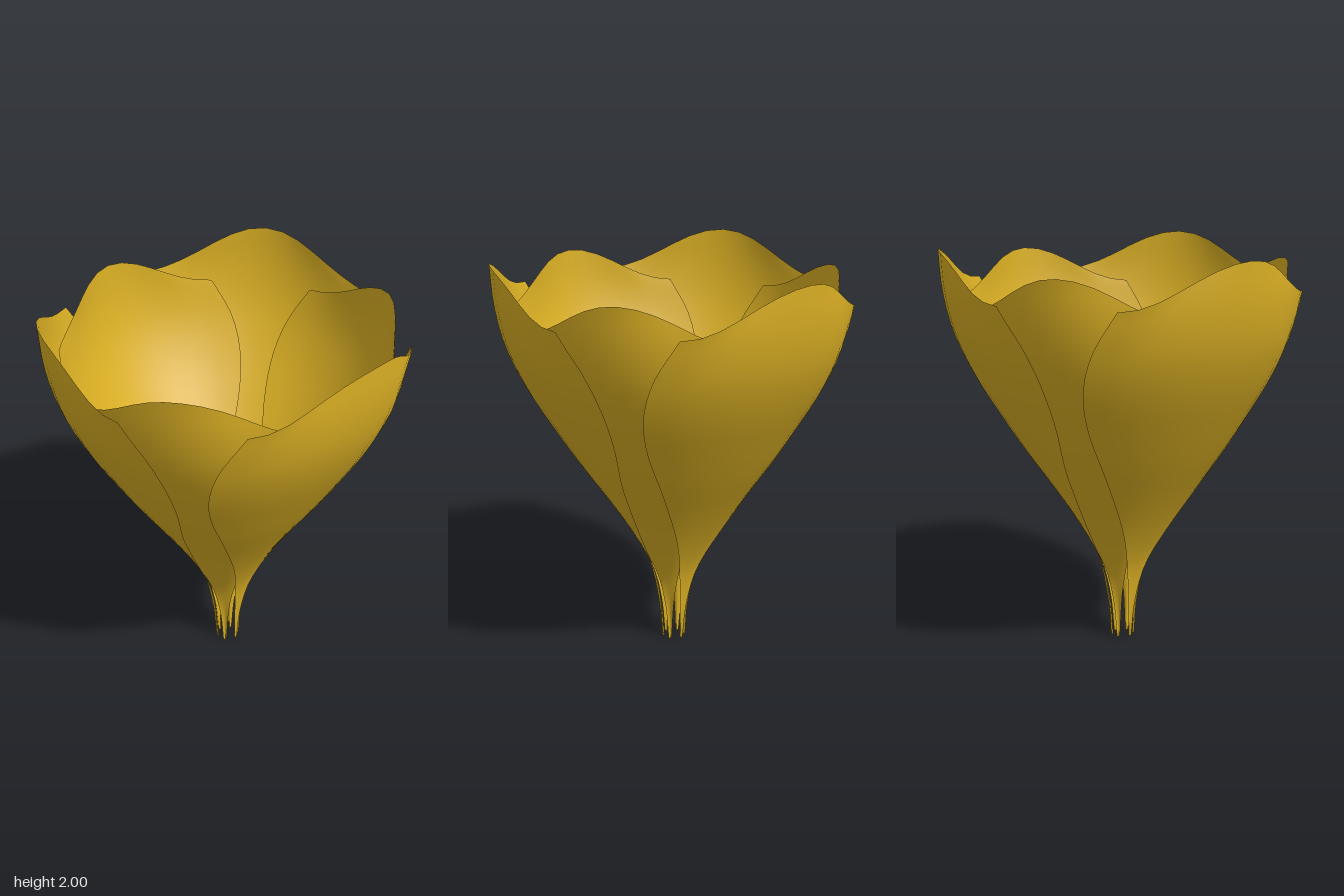
import * as THREE from 'three';

// Petal tables, one value per 0.2 of height
const RADIUS = [0.05, 0.066, 0.112, 0.215, 0.345, 0.485, 0.615, 0.735, 0.825, 0.872, 0.888];
const HALF_ANGLE = [8, 17, 29, 38, 45, 49.5, 53, 53, 49, 41];
const SHOULDER = 1.8; // height of the petal's upper corners
const COLS = 14, ROWS = 30;

// Smooth look-up in an evenly spaced table
function sample(table, y) {
  const last = table.length - 1;
  const t = Math.min(Math.max(y / 0.2, 0), last);
  const i = Math.min(Math.floor(t), last - 1), f = t - i;
  const p1 = table[i], p2 = table[i + 1];
  const p0 = i > 0 ? table[i - 1] : 2 * p1 - p2;
  const p3 = i + 2 <= last ? table[i + 2] : 2 * p2 - p1;
  return p1 + 0.5 * f * (p2 - p0 + f * (2 * p0 - 5 * p1 + 4 * p2 - p3 + f * (3 * (p1 - p2) + p3 - p0)));
}

// Curved sheet centred on the +x direction, narrow at the base and lobed at the top
function petalGeometry(inner) {
  const geometry = new THREE.PlaneGeometry(2, SHOULDER, COLS, ROWS);
  const pos = geometry.attributes.position;
  for (let i = 0; i < pos.count; i++) {
    const s = pos.getX(i);
    const h = pos.getY(i) + SHOULDER / 2;
    const k = h / SHOULDER;
    // Raised central lobe
    const y = h + 0.2 * k * k * (0.5 + 0.5 * Math.cos(Math.PI * s));
    const angle = THREE.MathUtils.degToRad(s * sample(HALF_ANGLE, h));
    // Edges stand outward low down, and the rim curls in beside the lobe
    const flare = 0.2 * Math.max(0, 1 - h / (inner ? 0.7 : 1.6)) * s * s;
    const curl = 0.025 * Math.pow(k, 8) * Math.sin(Math.PI * s) ** 2;
    const tuck = inner ? 1 - 0.08 * Math.min(1, h / 0.9) : 1;
    const r = (sample(RADIUS, y) * (1 + flare) - curl) * tuck;
    pos.setXYZ(i, r * Math.cos(angle), inner ? y * 0.965 : y, -r * Math.sin(angle));
  }
  geometry.computeVertexNormals();
  return geometry;
}

export function createModel() {
  const model = new THREE.Group();
  model.name = 'flower';
  const yellow = new THREE.MeshStandardMaterial({ color: 0xdbb024, side: THREE.DoubleSide });
  yellow.name = 'petal yellow';

  // Two whorls of three petals, the inner one turned by 60 degrees
  for (const inner of [false, true]) {
    const whorl = new THREE.Group();
    whorl.name = inner ? 'innerPetals' : 'outerPetals';
    const geometry = petalGeometry(inner);
    for (let i = 0; i < 3; i++) {
      const petal = new THREE.Mesh(geometry, yellow);
      petal.name = (inner ? 'innerPetal' : 'outerPetal') + (i + 1);
      petal.rotation.y = (i * 2 + (inner ? 1 : 0)) * Math.PI / 3;
      whorl.add(petal);
    }
    whorl.position.x = -0.035;
    model.add(whorl);
  }
  return model;
}
